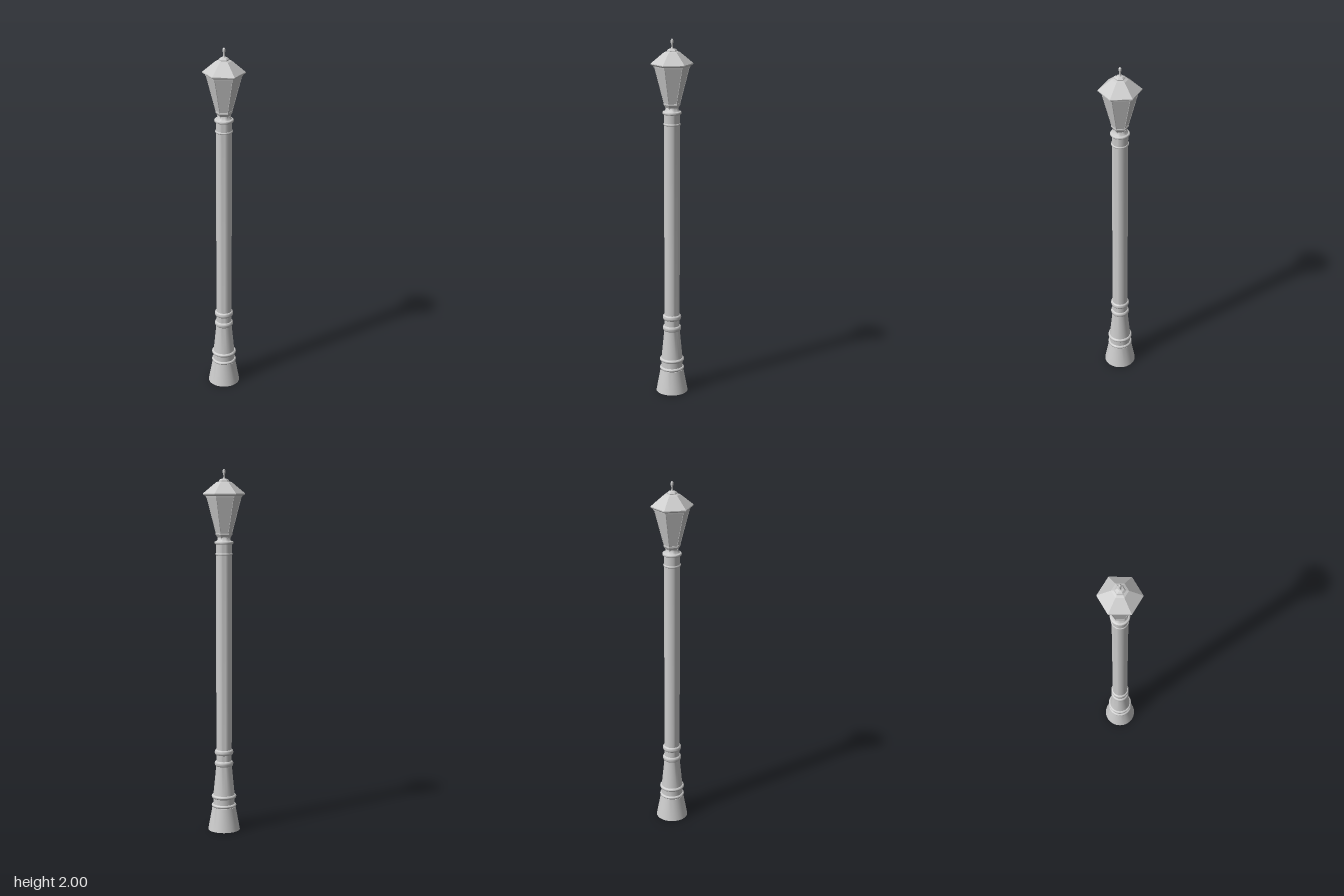
import * as THREE from 'three';
import { toCreasedNormals } from 'three/addons/utils/BufferGeometryUtils.js';

const HEX_TURN = THREE.MathUtils.degToRad(32.5);

export function createModel() {
  const group = new THREE.Group();
  const smooth = new THREE.MeshStandardMaterial({ color: 0xcccccc });
  const faceted = new THREE.MeshStandardMaterial({ color: 0xcccccc, flatShading: true });

  // Turned part from [radius, height] pairs, listed bottom to top
  function turned(name, profile, sides = 32) {
    const hex = sides === 6;
    const points = profile.map(([r, y]) => new THREE.Vector2(r, y));
    const lathe = new THREE.LatheGeometry(points, sides, hex ? HEX_TURN : 0);
    const geometry = hex ? lathe : toCreasedNormals(lathe, 0.6);
    const mesh = new THREE.Mesh(geometry, hex ? faceted : smooth);
    mesh.name = name;
    group.add(mesh);
  }

  // Rounded collar: half-round bulge closed onto the axis
  function collar(name, y, inner, outer, half) {
    const profile = [[0, y - half]];
    for (let i = 0; i <= 8; i++) {
      const a = -Math.PI / 2 + (Math.PI * i) / 8;
      profile.push([inner + (outer - inner) * Math.cos(a), y + half * Math.sin(a)]);
    }
    profile.push([0, y + half]);
    turned(name, profile);
  }

  // Flared foot, tapered pedestal and long shaft
  turned('foot', [[0, 0], [0.089, 0], [0.065, 0.13], [0.06, 0.13], [0.06, 0.2], [0, 0.2]]);
  turned('pedestal', [[0, 0.195], [0.06, 0.195], [0.044, 0.36], [0.044, 0.38], [0, 0.38]]);
  turned('shaft', [[0, 0.36], [0.043, 0.36], [0.043, 1.6], [0, 1.6]]);

  // Collars along the post
  collar('footLowerCollar', 0.139, 0.06, 0.069, 0.009);
  collar('footUpperCollar', 0.19, 0.06, 0.069, 0.01);
  collar('pedestalCollar', 0.378, 0.043, 0.052, 0.015);
  collar('shaftLowerCollar', 0.442, 0.043, 0.052, 0.015);
  collar('shaftUpperCollar', 1.542, 0.043, 0.047, 0.006);
  collar('shaftTopCollar', 1.604, 0.043, 0.052, 0.009);

  // Neck between post and lantern
  turned('neck', [[0, 1.61], [0.044, 1.61], [0.036, 1.62], [0.033, 1.632], [0, 1.632]]);

  // Six-sided lantern
  turned('lanternBase', [[0, 1.622], [0.035, 1.622], [0.036, 1.632], [0.046, 1.648],
    [0.046, 1.656], [0, 1.656]], 6);
  turned('lanternGlass', [[0, 1.65], [0.042, 1.65], [0.094, 1.85], [0, 1.85]], 6);
  turned('lanternRim', [[0, 1.848], [0.098, 1.848], [0.1, 1.858], [0, 1.858]], 6);

  // Slim bars along the lantern corners
  const up = new THREE.Vector3(0, 1, 0);
  for (let i = 0; i < 6; i++) {
    const a = HEX_TURN + (i * Math.PI) / 3;
    const low = new THREE.Vector3(0.042 * Math.sin(a), 1.65, 0.042 * Math.cos(a));
    const high = new THREE.Vector3(0.094 * Math.sin(a), 1.852, 0.094 * Math.cos(a));
    const along = high.clone().sub(low);
    const bar = new THREE.Mesh(new THREE.CylinderGeometry(0.002, 0.002, along.length(), 6), faceted);
    bar.position.copy(low).add(high).multiplyScalar(0.5);
    bar.quaternion.setFromUnitVectors(up, along.normalize());
    bar.name = 'lanternBar';
    group.add(bar);
  }

  // Roof with overhanging eave, stepped cap and finial
  turned('roof', [[0, 1.856], [0.103, 1.856], [0.114, 1.864], [0.114, 1.869],
    [0.043, 1.928], [0.03, 1.933], [0, 1.933]], 6);
  turned('roofCap', [[0, 1.93], [0.028, 1.93], [0.028, 1.938], [0.02, 1.945], [0.009, 1.948],
    [0, 1.948]], 6);
  turned('finial', [[0, 1.945], [0.008, 1.945], [0.004, 1.955], [0.004, 1.967], [0.008, 1.98],
    [0.007, 1.992], [0, 2]], 12);

  return group;
}
